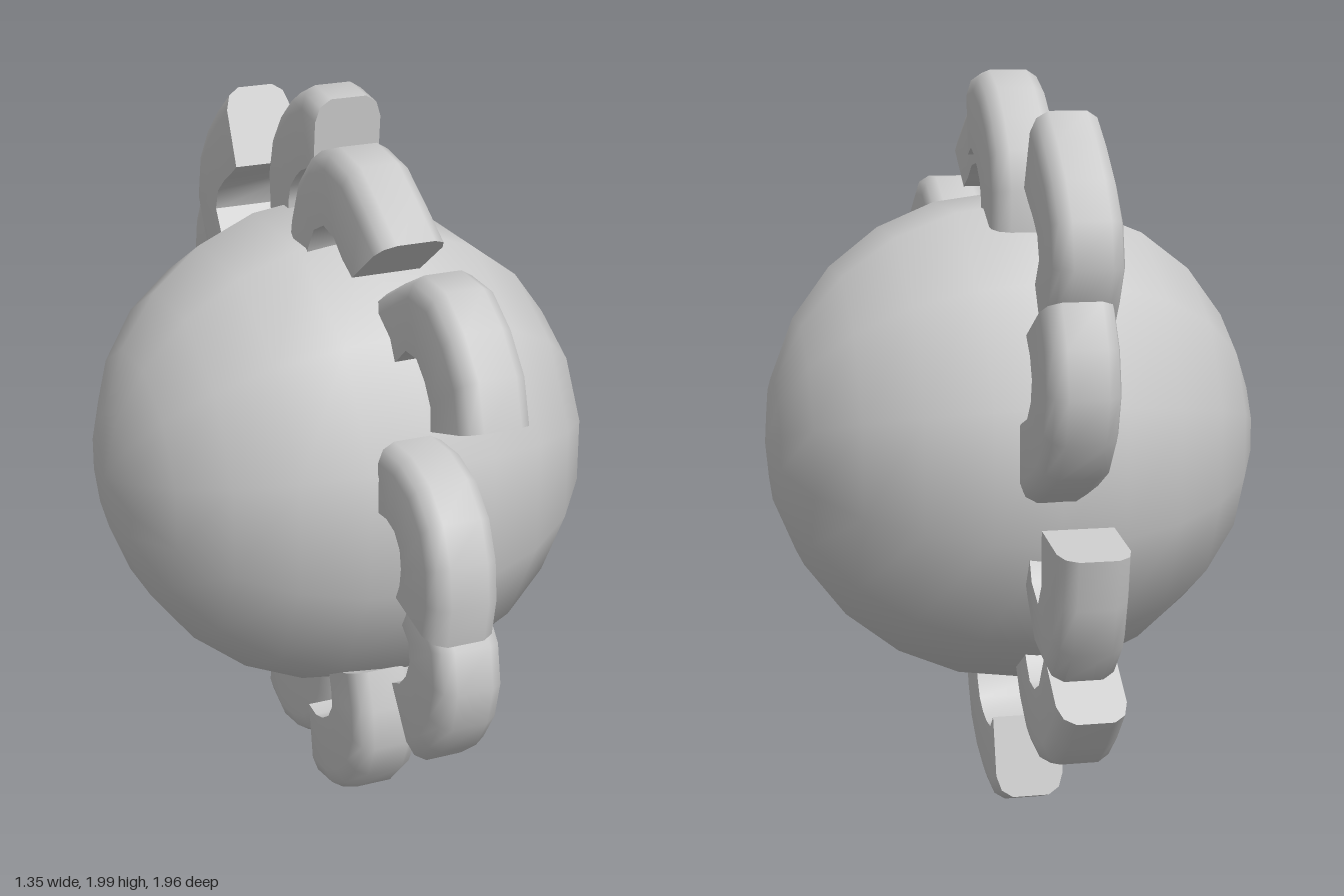
import * as THREE from 'three';
import { toCreasedNormals } from 'three/addons/utils/BufferGeometryUtils.js';

const CENTRE_Y = 1;
const STATIONS = 7;

// Each blade: sideways offset, lean of its tip, outer edge from tip to root as (z, y)
const BLADES = [
  { x: 0.01, tip: 95.6, edge: [[0.06, 1.99], [-0.06, 2.0], [-0.22, 1.9], [-0.32, 1.75], [-0.32, 1.59]] },
  { x: -0.06, tip: 65.8, edge: [[-0.44, 1.91], [-0.57, 1.81], [-0.69, 1.67], [-0.72, 1.53], [-0.6, 1.32]] },
  { x: 0.015, tip: 28.3, edge: [[-0.9, 1.48], [-0.97, 1.34], [-0.97, 1.2], [-0.88, 1.05], [-0.65, 0.94]] },
  { x: -0.015, tip: -8.3, edge: [[-0.97, 0.86], [-0.93, 0.68], [-0.85, 0.53], [-0.69, 0.54], [-0.51, 0.73]] },
  { x: -0.06, tip: -37.4, edge: [[-0.77, 0.39], [-0.6, 0.23], [-0.42, 0.2], [-0.3, 0.27], [-0.21, 0.38]] },
  { x: 0.005, tip: -75, edge: [[-0.32, 0.05], [-0.21, 0.01], [-0.03, 0.06], [0.1, 0.18], [0.15, 0.35]] },
  { x: -0.06, tip: -99.5, edge: [[0.2, 0.06], [0.34, 0.09], [0.48, 0.21], [0.53, 0.35], [0.48, 0.53]] },
  { x: 0.035, tip: -127, edge: [[0.65, 0.33], [0.78, 0.45], [0.83, 0.68], [0.75, 0.8], [0.64, 0.89]] },
  { x: -0.06, tip: -168, edge: [[0.96, 0.84], [0.98, 0.94], [0.94, 1.13], [0.8, 1.25], [0.63, 1.26]] },
  { x: 0.04, tip: -198, edge: [[0.93, 1.38], [0.9, 1.49], [0.78, 1.62], [0.63, 1.68], [0.36, 1.55]] },
  { x: -0.065, tip: -216.5, edge: [[0.65, 1.78], [0.38, 1.93], [0.21, 1.91], [0.09, 1.81], [0.03, 1.68]] },
];

// Blade section: (x, depth below the outer edge), rounded on the outside, square inside
const SECTION = [
  [0.093, 0.22], [0.093, 0.06], [0.08, 0.02], [0.05, 0],
  [-0.05, 0], [-0.08, 0.02], [-0.093, 0.06], [-0.093, 0.22],
];

// Sweeps the section along the outer edge while it turns from tip to root
function bladeGeometry({ tip, edge }) {
  const curve = new THREE.CatmullRomCurve3(edge.map(([z, y]) => new THREE.Vector3(0, y, z)));
  const n = SECTION.length;
  const positions = [];
  const index = [];
  for (let i = 0; i < STATIONS; i++) {
    const u = i / (STATIONS - 1);
    const p = curve.getPointAt(u);
    const a = THREE.MathUtils.degToRad(tip - 102 * u);
    const depthScale = 1 - 0.15 * u;
    for (const [x, depth] of SECTION) {
      const d = depth * depthScale;
      positions.push(x, p.y - Math.sin(a) * d, p.z + Math.cos(a) * d);
    }
  }
  // Skin between stations
  for (let i = 0; i < STATIONS - 1; i++) {
    for (let j = 0; j < n; j++) {
      const a = i * n + j;
      const b = i * n + ((j + 1) % n);
      index.push(a, b, a + n, b, b + n, a + n);
    }
  }
  // End caps
  const last = (STATIONS - 1) * n;
  for (let j = 1; j < n - 1; j++) {
    index.push(0, j + 1, j);
    index.push(last, last + j, last + j + 1);
  }
  const geometry = new THREE.BufferGeometry();
  geometry.setAttribute('position', new THREE.Float32BufferAttribute(positions, 3));
  geometry.setIndex(index);
  return toCreasedNormals(geometry, 0.9);
}

export function createModel() {
  const model = new THREE.Group();
  model.name = 'bladedBall';
  const material = new THREE.MeshStandardMaterial({ color: 0xcccccc, side: THREE.DoubleSide });

  // Ball with its poles pointing sideways and flat facets on the four sides
  const ballGeometry = new THREE.SphereGeometry(0.677, 12, 12);
  ballGeometry.rotateY(Math.PI / 12).rotateZ(Math.PI / 2);
  const ball = new THREE.Mesh(ballGeometry, material);
  ball.name = 'ball';
  ball.position.y = CENTRE_Y;
  model.add(ball);

  // Ring of curved blades, staggered from side to side
  const ring = new THREE.Group();
  ring.name = 'bladeRing';
  BLADES.forEach((data, i) => {
    const blade = new THREE.Mesh(bladeGeometry(data), material);
    blade.name = `blade${i + 1}`;
    blade.position.x = data.x;
    ring.add(blade);
  });
  model.add(ring);
  return model;
}
